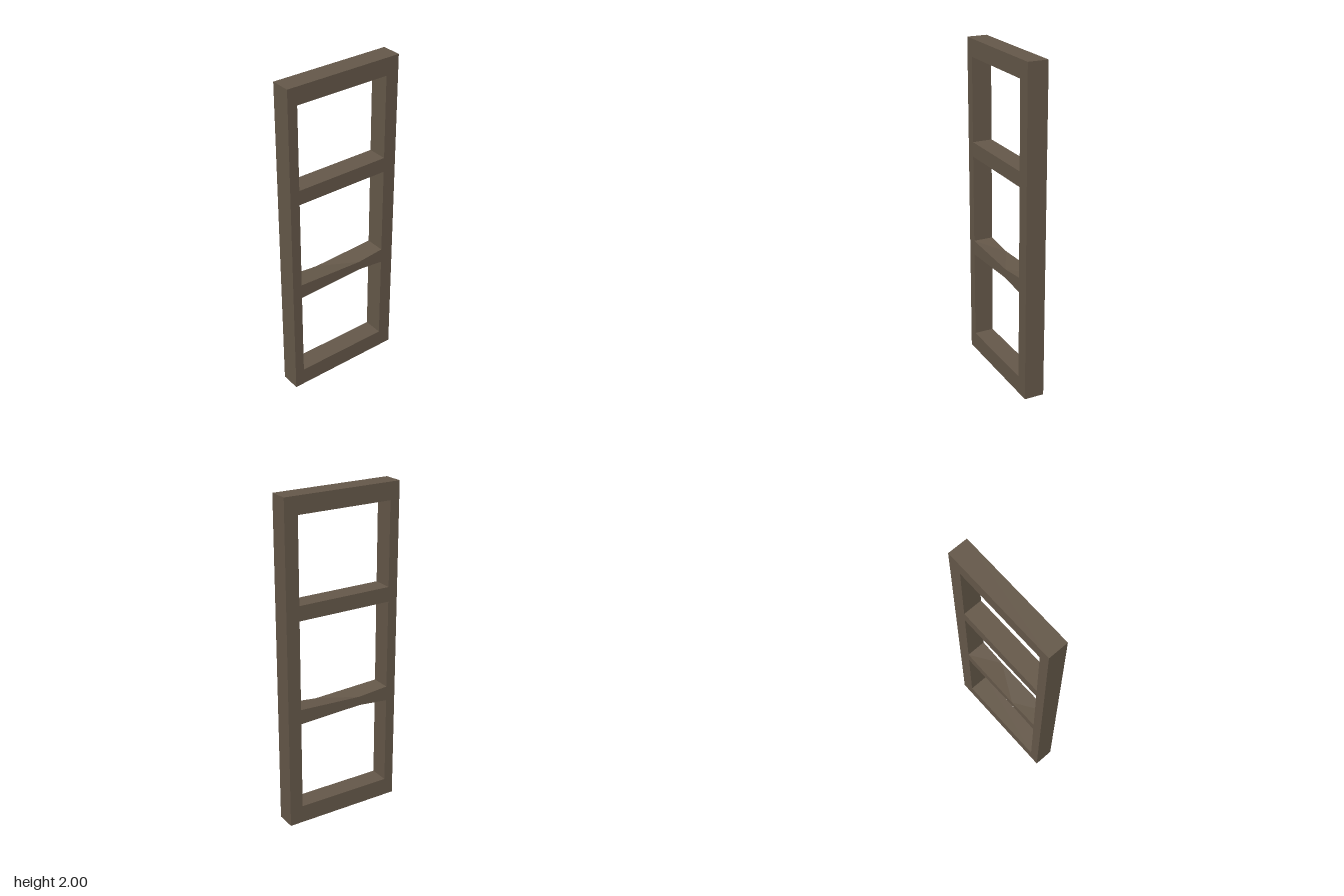
import * as THREE from 'three';

const HALF_W = 0.37, HEIGHT = 2, HALF_D = 0.061;
const LEFT = -0.31, RIGHT = 0.287; // inner edges of the two stiles

const frameMaterial = new THREE.MeshStandardMaterial({ color: 0x66594a });

function rectPoints(x0, y0, x1, y1) {
  return [[x0, y0], [x1, y0], [x1, y1], [x0, y1]].map(([x, y]) => new THREE.Vector2(x, y));
}

// Outer frame with the straight upper crossbar left between its two openings
function createFrame() {
  const shape = new THREE.Shape(rectPoints(-HALF_W, 0, HALF_W, HEIGHT));
  for (const [y0, y1] of [[0.11, 1.295], [1.385, 1.895]]) {
    shape.holes.push(new THREE.Path(rectPoints(LEFT, y0, RIGHT, y1).reverse()));
  }
  const geometry = new THREE.ExtrudeGeometry(shape, { depth: 2 * HALF_D, bevelEnabled: false });
  geometry.translate(0, 0, -HALF_D);
  const mesh = new THREE.Mesh(geometry, frameMaterial);
  mesh.name = 'frame';
  return mesh;
}

// Worn lower crossbar: its front edges pinch at +x and its back edges at -x
function createWornCrossbar() {
  const top = 0.751, bottom = 0.66, pinch = 0.018, knot = 0.115;
  // Outline seen from above, anticlockwise: x, z, amount of wear
  const outline = [
    [LEFT, HALF_D, 0], [knot, HALF_D, pinch], [RIGHT, HALF_D, 0],
    [RIGHT, -HALF_D, 0], [-knot, -HALF_D, pinch], [LEFT, -HALF_D, 0],
  ];
  const n = outline.length;
  const positions = [
    ...outline.flatMap(([x, z, wear]) => [x, top - wear, z]),
    ...outline.flatMap(([x, z, wear]) => [x, bottom + wear, z]),
  ];
  const caps = [[0, 1, 4], [0, 4, 5], [1, 2, 3], [1, 3, 4]];
  const index = [];
  for (const [a, b, c] of caps) index.push(a, b, c, a + n, c + n, b + n);
  for (let i = 0; i < n; i++) {
    if (i === 2 || i === 5) continue; // ends are buried against the stiles
    const j = (i + 1) % n;
    index.push(i, i + n, j + n, i, j + n, j);
  }
  const indexed = new THREE.BufferGeometry();
  indexed.setAttribute('position', new THREE.Float32BufferAttribute(positions, 3));
  indexed.setIndex(index);
  const geometry = indexed.toNonIndexed();
  geometry.computeVertexNormals();
  const mesh = new THREE.Mesh(geometry, frameMaterial);
  mesh.name = 'wornCrossbar';
  return mesh;
}

export function createModel() {
  frameMaterial.name = 'weathered brown';
  const group = new THREE.Group();
  group.name = 'openFrame';
  group.add(createFrame(), createWornCrossbar());
  return group;
}
